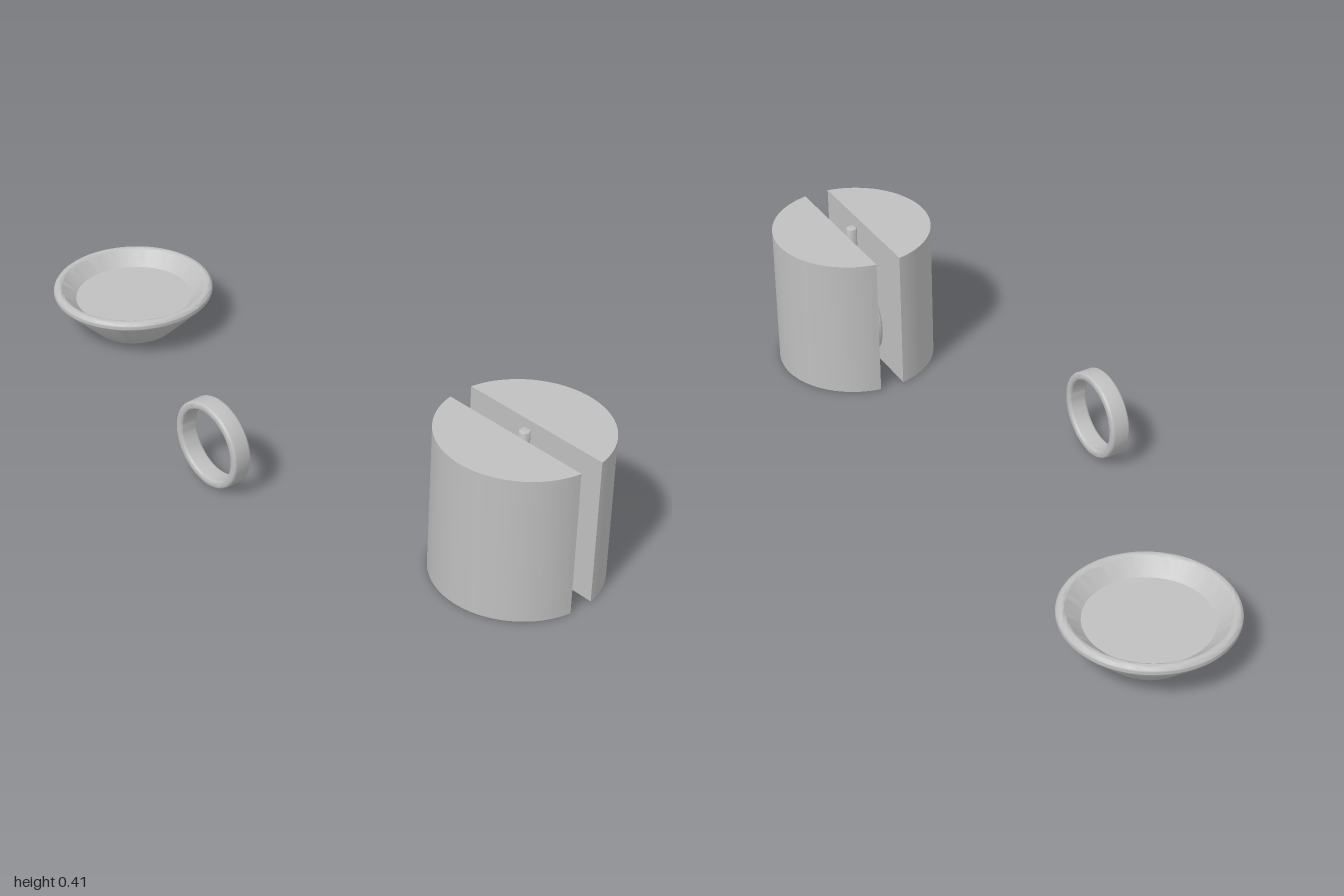
import * as THREE from 'three';
import { toCreasedNormals } from 'three/addons/utils/BufferGeometryUtils.js';

const grey = new THREE.MeshStandardMaterial({ color: 0xbfbfbf });
grey.name = 'plain grey';

function part(name, geometry, x, y, z) {
  const mesh = new THREE.Mesh(toCreasedNormals(geometry, 0.6), grey);
  mesh.name = name;
  mesh.position.set(x, y, z);
  return mesh;
}

const lathe = (points, segments = 72) =>
  new THREE.LatheGeometry(points.map(([r, y]) => new THREE.Vector2(r, y)), segments);

// points on a rounding arc, angles in degrees
function arc(cx, cy, r, from, to, steps) {
  const points = [];
  for (let i = 0; i <= steps; i++) {
    const a = THREE.MathUtils.degToRad(from + (to - from) * i / steps);
    points.push([cx + r * Math.cos(a), cy + r * Math.sin(a)]);
  }
  return points;
}

// flat band with rounded edges, its axis along z
function ringGeometry() {
  const outer = 0.122, inner = 0.099, half = 0.0275, r = 0.008;
  const points = [
    ...arc(outer - r, -half + r, r, -90, 0, 5),
    ...arc(outer - r, half - r, r, 0, 90, 5),
    ...arc(inner + r, half - r, r, 90, 180, 5),
    ...arc(inner + r, -half + r, r, 180, 270, 5),
  ];
  points.push(points[0]);
  return lathe(points).rotateX(Math.PI / 2);
}

// half of the slotted cylinder, flat face towards the slot
function halfGeometry() {
  const radius = 0.222, a = Math.asin(0.0355 / radius);
  const shape = new THREE.Shape();
  shape.absarc(0, 0, radius, a, Math.PI - a, false);
  return new THREE.ExtrudeGeometry(shape, { depth: 0.41, bevelEnabled: false, curveSegments: 48 })
    .rotateX(-Math.PI / 2);
}

export function createModel() {
  const model = new THREE.Group();
  model.name = 'model';

  // shallow bowl with a raised floor and rounded rim
  model.add(part('bowl', lathe([
    [0, 0], [0.118, 0],
    ...arc(0.213, 0.115, 0.015, -40, 150, 14),
    [0.165, 0.09], [0, 0.09],
  ]), -0.772, 0, -0.065));

  // loose ring
  model.add(part('looseRing', ringGeometry(), 0, 0.122, 0.269));

  // slotted cylinder holding a ring and a pin
  const holder = new THREE.Group();
  holder.name = 'slottedHolder';
  holder.position.set(0.778, 0, -0.065);
  holder.add(part('backHalf', halfGeometry(), 0, 0, 0));
  holder.add(part('frontHalf', halfGeometry().rotateY(Math.PI), 0, 0, 0));
  holder.add(part('heldRing', ringGeometry(), 0, 0.122, 0));
  holder.add(part('pin', lathe([
    [0, 0], ...arc(0.0105, 0.004, 0.004, -90, 0, 4),
    ...arc(0.0105, 0.154, 0.004, 0, 90, 4), [0, 0.158],
  ], 24), 0, 0.249, 0));
  model.add(holder);

  return model;
}
